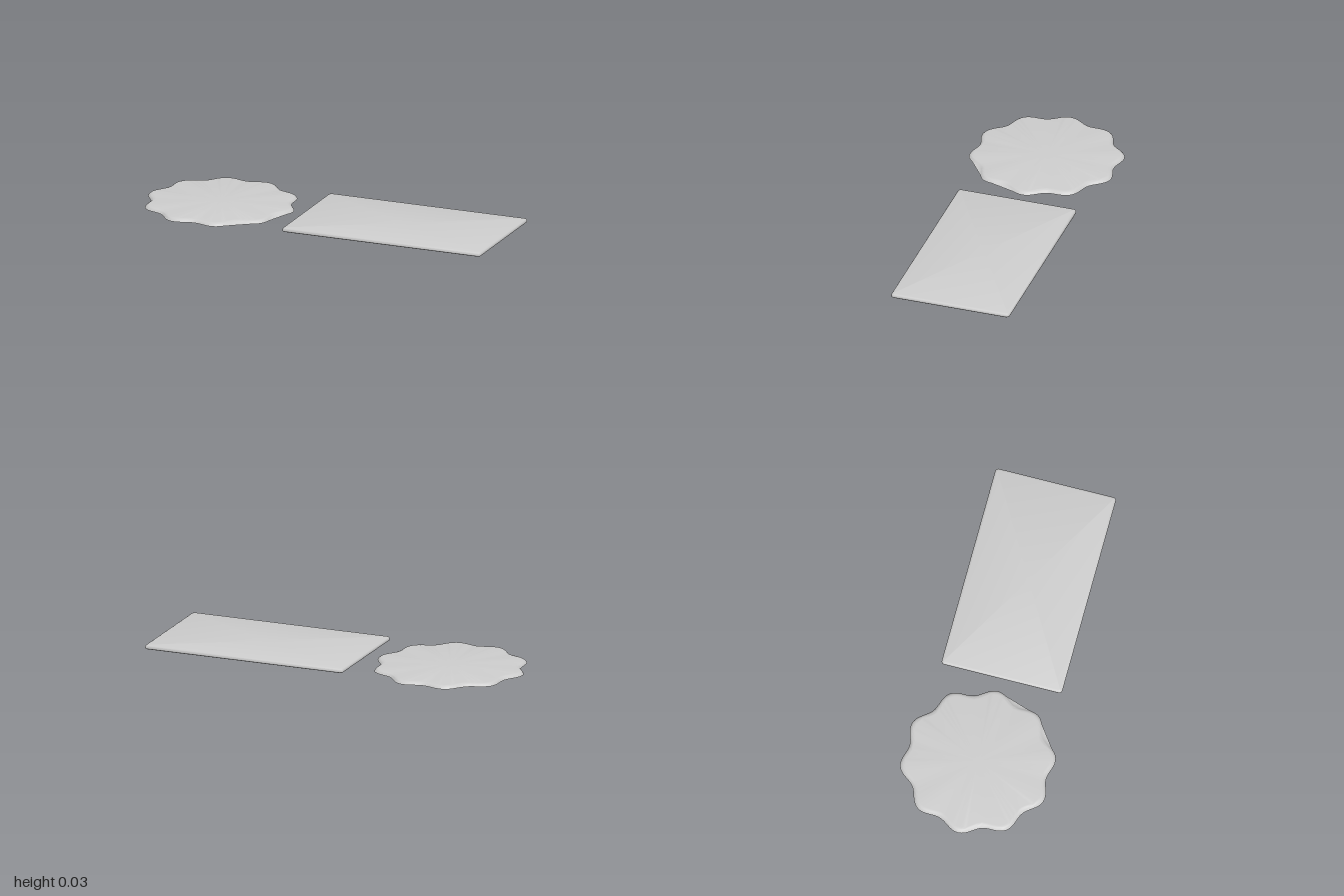
import * as THREE from 'three';
import { toCreasedNormals } from 'three/addons/utils/BufferGeometryUtils.js';

// Closed solid from stacked [inset, y] rings; outline(inset, ringIndex) returns [x, z] points
function stackRings(name, rings, outline, material, crease) {
  const pos = [], index = [];
  let n = 0;
  rings.forEach(([inset, y], j) => {
    const pts = outline(inset, j);
    n = pts.length;
    pts.forEach(([x, z]) => pos.push(x, y, z));
  });
  const last = rings.length - 1;
  const bottom = pos.length / 3, top = bottom + 1;
  pos.push(0, rings[0][1], 0, 0, rings[last][1], 0);
  for (let i = 0; i < n; i++) {
    const k = (i + 1) % n;
    for (let j = 0; j < last; j++) {
      const a = j * n + i, b = j * n + k;
      index.push(a, a + n, b, b, a + n, b + n);
    }
    index.push(bottom, i, k, top, last * n + k, last * n + i);
  }
  const geo = new THREE.BufferGeometry();
  geo.setAttribute('position', new THREE.Float32BufferAttribute(pos, 3));
  geo.setIndex(index);
  const mesh = new THREE.Mesh(toCreasedNormals(geo, crease), material);
  mesh.name = name;
  return mesh;
}

// Rectangle with small rounded corners
function rectOutline(halfX, halfZ, radius) {
  return (inset) => {
    const pts = [], r = Math.max(radius - inset * 0.4, 0.004);
    for (let c = 0; c < 4; c++) {
      const sx = c === 0 || c === 3 ? 1 : -1, sz = c < 2 ? 1 : -1;
      for (let s = 0; s <= 5; s++) {
        const t = (c + s / 5) * Math.PI / 2;
        pts.push([sx * (halfX - inset - r) + r * Math.cos(t),
          sz * (halfZ - inset - r) + r * Math.sin(t)]);
      }
    }
    return pts;
  };
}

// Ten-lobed wavy circle; two valleys of the lowest ring are bridged straight
function scallopOutline(mid, wave, count) {
  const step = Math.PI / 5;
  return (inset, ring) => Array.from({ length: count }, (_, i) => {
    const t = i / count * Math.PI * 2;
    let r = mid + wave * Math.cos(10 * t) - inset;
    if (ring === 0 && t < 2 * step) {
      const chord = (mid + wave) * Math.cos(step / 2) / Math.cos(t % step - step / 2);
      r = Math.max(r, chord);
    }
    return [r * Math.cos(t), r * Math.sin(t)];
  });
}

export function createModel() {
  const group = new THREE.Group();
  const material = new THREE.MeshStandardMaterial({ color: 0xcccccc });

  // Rectangular mat with rounded rim and narrower underside
  const mat = stackRings('rectangularMat',
    [[0.026, 0], [0.02, 0.003], [0.006, 0.005], [0.001, 0.009], [0, 0.014],
      [0.001, 0.02], [0.005, 0.025], [0.013, 0.028]],
    rectOutline(0.56, 0.325, 0.016), material, 0.8);
  mat.position.x = 0.44;
  group.add(mat);

  // Scalloped round mat with a soft bevel and flat underside
  const disc = stackRings('scallopedMat',
    [[0, 0.008], [0.002, 0.012], [0.008, 0.018], [0.014, 0.022], [0.02, 0.024], [0.028, 0.025]],
    scallopOutline(0.387, 0.019, 160), material, 0.8);
  disc.position.x = -0.596;
  group.add(disc);

  return group;
}
